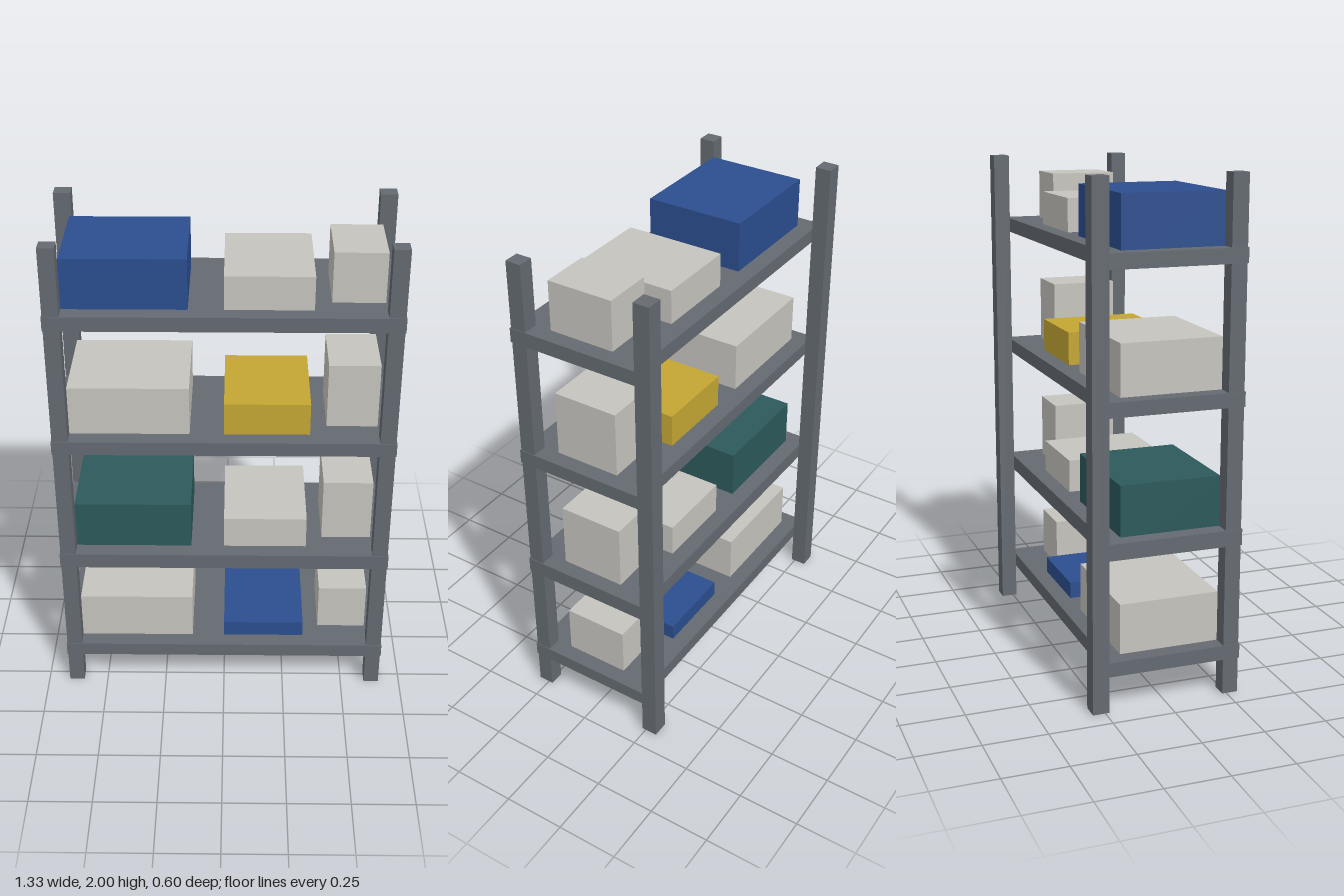
import * as THREE from 'three';

const paint = (name, color) => Object.assign(new THREE.MeshStandardMaterial({ color }), { name });

export function createModel() {
  const model = new THREE.Group();
  model.name = 'stockedShelf';
  const steel = paint('steelGrey', 0x646a71);
  const pale = paint('paleGrey', 0xc6c4be);
  const blue = paint('blue', 0x2b4e8f);
  const teal = paint('teal', 0x2c595b);
  const yellow = paint('yellow', 0xc4a633);

  // Box given by its minimum and maximum corners
  function block(parent, name, material, [x0, y0, z0], [x1, y1, z1]) {
    const mesh = new THREE.Mesh(new THREE.BoxGeometry(x1 - x0, y1 - y0, z1 - z0), material);
    mesh.position.set((x0 + x1) / 2, (y0 + y1) / 2, (z0 + z1) / 2);
    mesh.name = name;
    parent.add(mesh);
  }

  // Four corner posts; the front pair sits just inside the shelf edges
  for (const side of [-1, 1]) {
    const sideName = side > 0 ? 'left' : 'right';
    const span = (a, b) => [Math.min(side * a, side * b), Math.max(side * a, side * b)];
    const [f0, f1] = span(0.6, 0.662);
    const [b0, b1] = span(0.6, 0.6667);
    block(model, sideName + 'FrontPost', steel, [f0, 0, 0.233], [f1, 2, 0.296]);
    block(model, sideName + 'BackPost', steel, [b0, 0, -0.3], [b1, 2, -0.235]);
  }

  // Footprints of the three boxes on every shelf: x0, x1, z0, z1
  const slots = [
    ['largeBox', -0.6, -0.1333, -0.168, 0.233],
    ['mediumBox', 0, 0.3333, -0.168, 0.233],
    ['smallBox', 0.4, 0.6, -0.1, 0.1667],
  ];

  // Shelf bottom and top, box bottom, box tops and box colours
  const levels = [
    [0.143, 0.2, 0.138, [0.4, 0.267, 0.4], [pale, blue, pale]],
    [0.603, 0.667, 0.61, [0.867, 0.8, 0.933], [teal, pale, pale]],
    [1.143, 1.2, 1.138, [1.4, 1.333, 1.467], [pale, yellow, pale]],
    [1.675, 1.733, 1.67, [1.933, 1.867, 1.933], [blue, pale, pale]],
  ];
  levels.forEach(([bottom, top, base, heights, colours], level) => {
    const group = new THREE.Group();
    group.name = 'level' + (level + 1);
    block(group, 'shelf', steel, [-0.665, bottom, -0.235], [0.665, top, 0.3]);
    slots.forEach(([name, x0, x1, z0, z1], i) =>
      block(group, name, colours[i], [x0, base, z0], [x1, heights[i], z1]));
    model.add(group);
  });
  return model;
}
